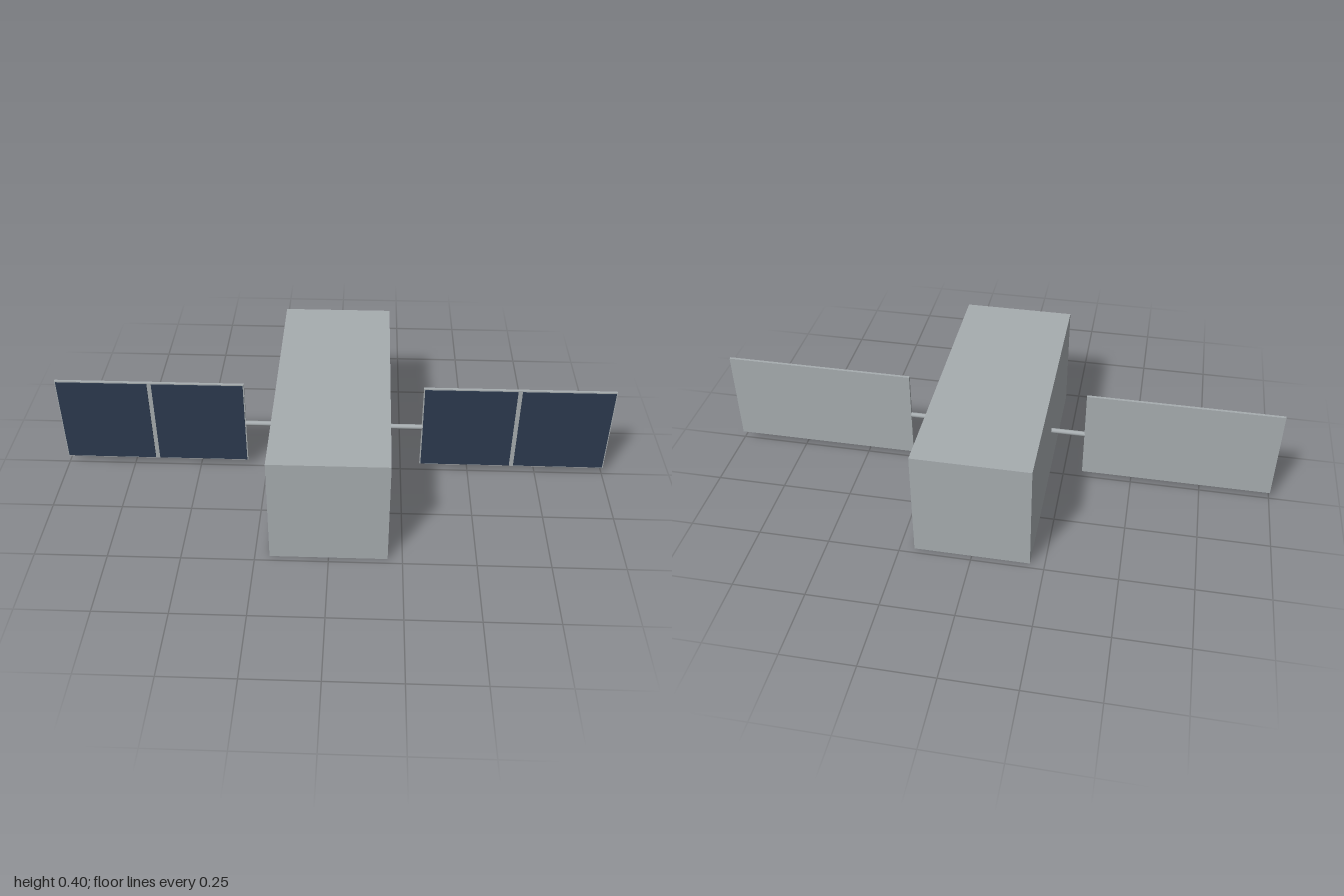
import * as THREE from 'three';

export function createModel() {
  const model = new THREE.Group();
  model.name = 'satellite';

  const grey = new THREE.MeshStandardMaterial({ color: 0xa6acaf });
  grey.name = 'satin grey';
  const navy = new THREE.MeshStandardMaterial({ color: 0x2c3a4e });
  navy.name = 'solar cell navy';

  const add = (name, geometry, material, x, y, z, parent) => {
    const mesh = new THREE.Mesh(geometry, material);
    mesh.name = name;
    mesh.position.set(x, y, z);
    parent.add(mesh);
    return mesh;
  };

  // Main body
  add('body', new THREE.BoxGeometry(0.4, 0.4, 0.96), grey, 0, 0.2, 0, model);

  // Mirrored wings: boom, backing panel and two cell plates on the front
  const boomGeometry = new THREE.CylinderGeometry(0.009, 0.009, 0.13, 12).rotateZ(Math.PI / 2);
  const panelGeometry = new THREE.BoxGeometry(0.68, 0.34, 0.01);
  const cellGeometry = new THREE.BoxGeometry(0.328, 0.332, 0.003);

  for (const [side, s] of [['left', 1], ['right', -1]]) {
    const wing = new THREE.Group();
    wing.name = side + 'SolarWing';
    model.add(wing);
    add(side + 'Boom', boomGeometry, grey, s * 0.257, 0.2, 0, wing);
    add(side + 'Panel', panelGeometry, grey, s * 0.66, 0.2, -0.0015, wing);
    add(side + 'InnerCells', cellGeometry, navy, s * 0.488, 0.2, 0.005, wing);
    add(side + 'OuterCells', cellGeometry, navy, s * 0.832, 0.2, 0.005, wing);
  }
  return model;
}
